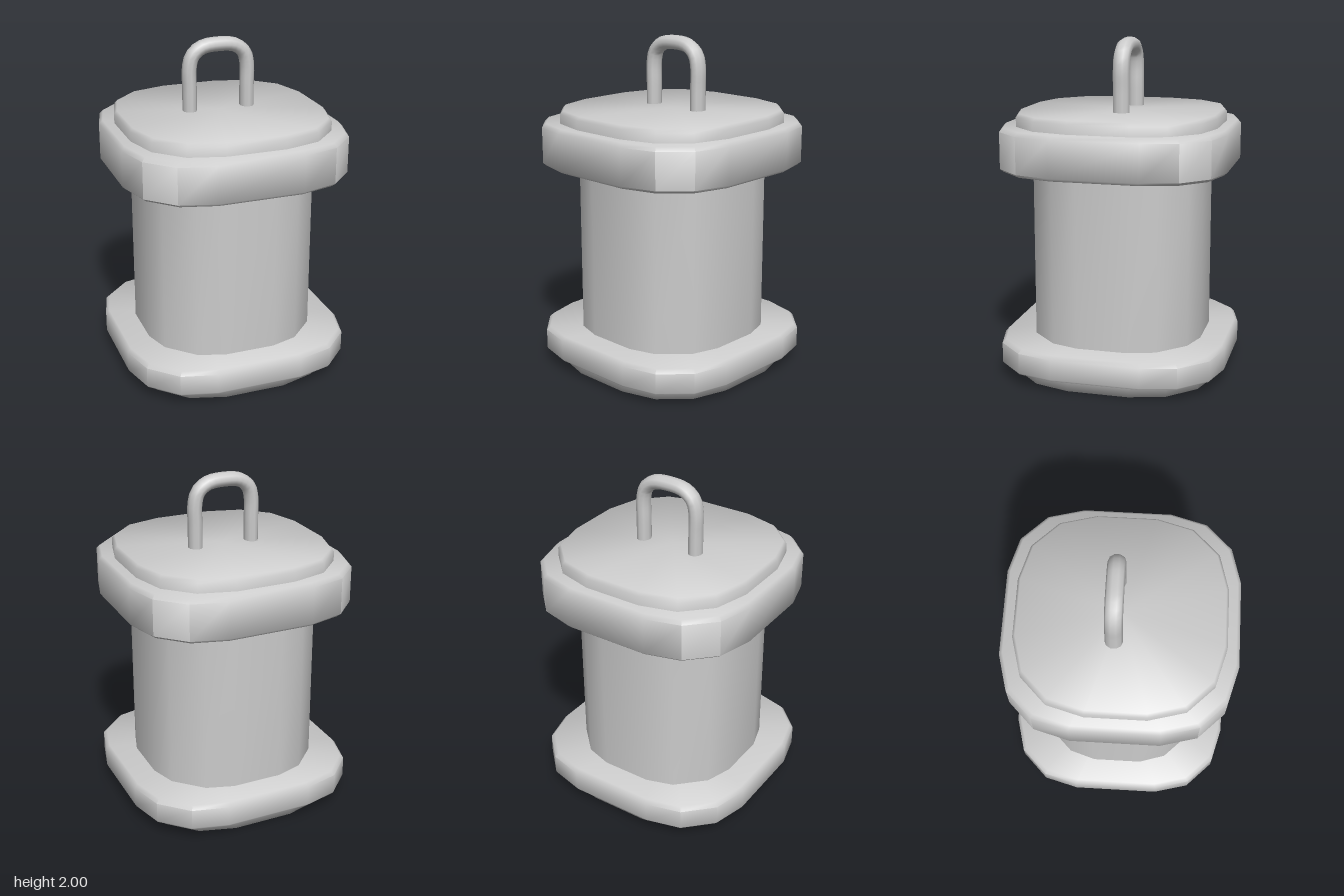
import * as THREE from 'three';
import { toCreasedNormals } from 'three/addons/utils/BufferGeometryUtils.js';

const material = new THREE.MeshStandardMaterial({ color: 0xcccccc });

// Sixteen-sided rounded square from the two points that define half a corner
function roundedSquare([ax, az], [bx, bz]) {
  const corner = [[ax, az], [bx, bz], [bz, bx], [az, ax]];
  const points = [];
  for (let k = 0; k < 4; k++) {
    const c = Math.round(Math.cos(k * Math.PI / 2));
    const s = Math.round(Math.sin(k * Math.PI / 2));
    for (const [x, z] of corner) points.push([x * c - z * s, x * s + z * c]);
  }
  return points;
}

// Stacks copies of an outline; each ring is [inset, y], listed bottom to top
function stack(name, outline, rings, smooth = false, topCap = true) {
  const n = outline.length;
  const half = outline[0][0];
  const positions = [];
  const index = [];
  for (const [inset, y] of rings) {
    const s = 1 - inset / half;
    for (const [x, z] of outline) positions.push(x * s, y, z * s);
  }
  const bottom = positions.length / 3;
  const top = bottom + 1;
  positions.push(0, rings[0][1], 0, 0, rings[rings.length - 1][1], 0);
  const last = (rings.length - 1) * n;
  for (let i = 0; i < n; i++) {
    const j = (i + 1) % n;
    for (let r = 0; r < last; r += n) {
      index.push(r + i, r + n + i, r + j, r + j, r + n + i, r + n + j);
    }
    index.push(bottom, i, j);
    if (topCap) index.push(top, last + j, last + i);
  }
  const geometry = new THREE.BufferGeometry();
  geometry.setAttribute('position', new THREE.Float32BufferAttribute(positions, 3));
  geometry.setIndex(index);
  geometry.computeVertexNormals();
  const mesh = new THREE.Mesh(smooth ? geometry : toCreasedNormals(geometry, 0.9), material);
  mesh.name = name;
  return mesh;
}

export function createModel() {
  const group = new THREE.Group();
  group.name = 'canister';

  const footOutline = roundedSquare([0.607, 0.18], [0.545, 0.39]);
  const flangeOutline = roundedSquare([0.68, 0.26], [0.625, 0.47]);
  const bodyOutline = roundedSquare([0.515, 0.15], [0.465, 0.31]);
  const capOutline = roundedSquare([0.672, 0.255], [0.615, 0.465]);
  const lidOutline = roundedSquare([0.598, 0.175], [0.54, 0.388]);

  group.add(
    stack('foot', footOutline, [[0, 0], [0, 0.09]], true, false),
    stack('baseFlange', flangeOutline, [[0.006, 0.08], [0, 0.09], [0, 0.208], [0.02, 0.23]]),
    stack('body', bodyOutline, [[0, 0.2], [0, 1.27]]),
    stack('capRim', capOutline, [[0.02, 1.245], [0, 1.263], [0, 1.478], [0.02, 1.5]]),
    stack('lid', lidOutline, [[0, 1.46], [0, 1.555], [0.016, 1.575]])
  );

  // Carrying handle: straight legs joined by a shallow arch
  const halfPath = [[0.178, 1.55], [0.178, 1.7], [0.178, 1.83], [0.158, 1.9], [0.1, 1.945]];
  const path = [
    ...halfPath.map(([x, y]) => [-x, y]),
    [0, 1.957],
    ...halfPath.slice().reverse()
  ].map(([x, y]) => new THREE.Vector3(x, y, 0));
  const handle = new THREE.Mesh(
    new THREE.TubeGeometry(new THREE.CatmullRomCurve3(path), 32, 0.042, 10, false),
    material
  );
  handle.name = 'handle';
  handle.scale.z = 1.2;
  handle.position.z = -0.033;
  group.add(handle);

  return group;
}
